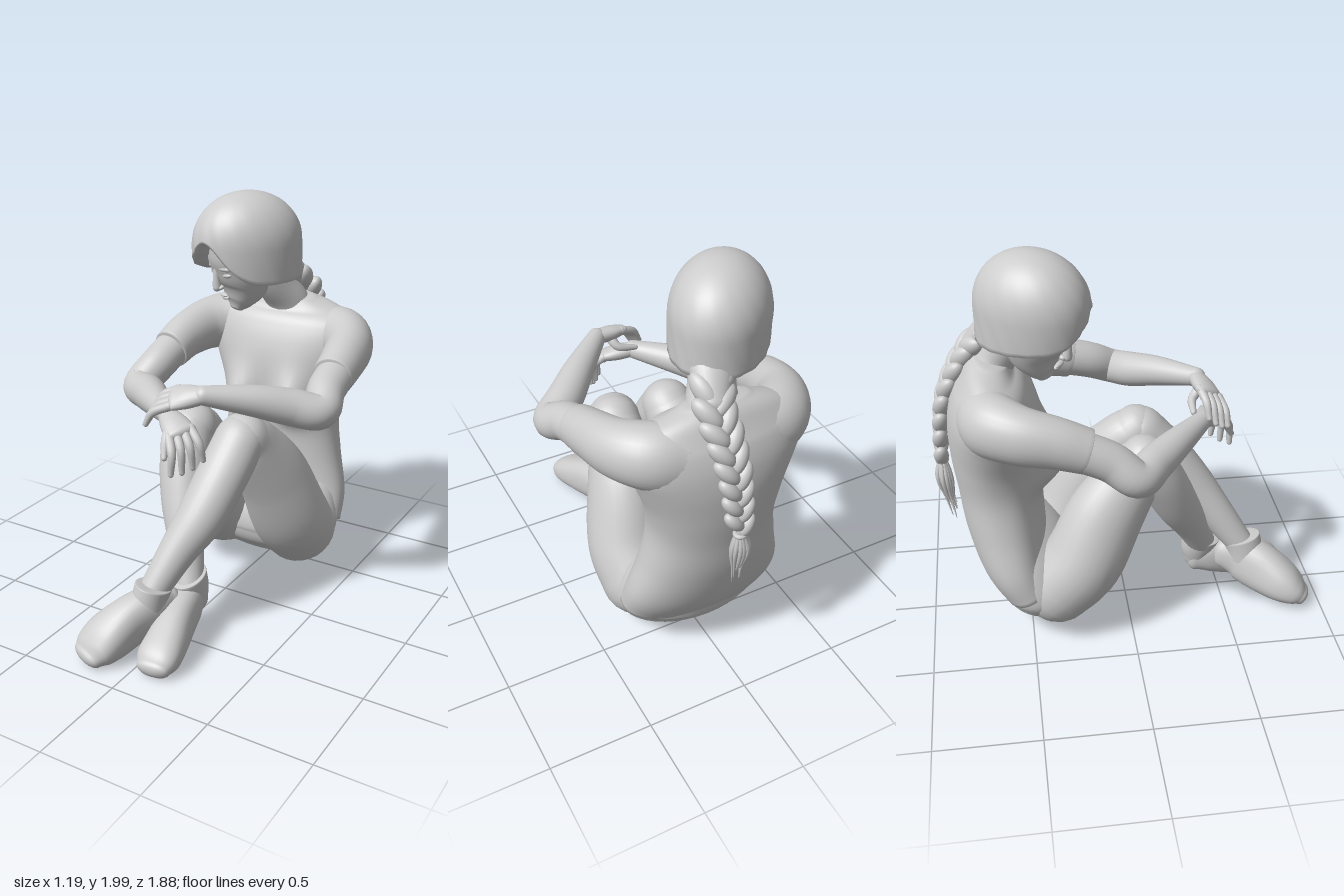
import * as THREE from 'three';

const mat = new THREE.MeshStandardMaterial({ color: 0xcccccc });
const thin = new THREE.MeshStandardMaterial({ color: 0xcccccc, side: THREE.DoubleSide });
const V = (x, y, z) => new THREE.Vector3(x, y, z);

function add(parent, name, geometry, material = mat) {
  const mesh = new THREE.Mesh(geometry, material);
  mesh.name = name;
  parent.add(mesh);
  return mesh;
}

// Closed surface from a grid of rings: point(i, j) gives ring i, corner j
function gridGeometry(rows, cols, point) {
  const pos = [], idx = [];
  for (let i = 0; i < rows; i++)
    for (let j = 0; j < cols; j++) {
      pos.push(...point(i, j).toArray());
      if (i === rows - 1) continue;
      const a = i * cols + j, b = i * cols + (j + 1) % cols;
      idx.push(a, b, a + cols, b, b + cols, a + cols);
    }
  const g = new THREE.BufferGeometry();
  g.setAttribute('position', new THREE.Float32BufferAttribute(pos, 3));
  g.setIndex(idx);
  g.computeVertexNormals();
  return g;
}

// Smooth limb through sections [x, y, z, radiusAlongSide, radiusAcross], with domed ends
function loft(sections, { side = V(1, 0, 0), caps = [1, 1], sides = 28, steps = 7, power = 1 } = {}) {
  const path = new THREE.CatmullRomCurve3(sections.map(s => V(s[0], s[1], s[2])), false, 'catmullrom');
  const radii = new THREE.CatmullRomCurve3(sections.map(s => V(s[3], s[4] ?? s[3], 0)), false, 'catmullrom');
  const rings = [], n = (sections.length - 1) * steps, capRings = 6;
  const ring = (t, angle, dir, cap) => {
    const c = path.getPoint(t), r = radii.getPoint(t), tan = path.getTangent(t);
    const s = side.clone().addScaledVector(tan, -side.dot(tan)).normalize();
    const b = new THREE.Vector3().crossVectors(tan, s);
    c.addScaledVector(tan, dir * cap * Math.min(r.x, r.y) * Math.sin(angle));
    rings.push({ c, s, b, rx: r.x * Math.cos(angle), ry: r.y * Math.cos(angle) });
  };
  for (let k = capRings; k > 0; k--) ring(0, k / capRings * Math.PI / 2, -1, caps[0]);
  for (let i = 0; i <= n; i++) ring(i / n, 0, 0, 0);
  for (let k = 1; k <= capRings; k++) ring(1, k / capRings * Math.PI / 2, 1, caps[1]);
  const soft = v => Math.sign(v) * Math.abs(v) ** power;
  return gridGeometry(rings.length, sides, (i, j) => {
    const a = j / sides * Math.PI * 2, { c, s, b, rx, ry } = rings[i];
    return c.clone().addScaledVector(s, soft(Math.cos(a)) * rx).addScaledVector(b, soft(Math.sin(a)) * ry);
  });
}

function ball(parent, name, x, y, z, rx, ry, rz) {
  const m = add(parent, name, new THREE.SphereGeometry(1, 24, 16));
  m.position.set(x, y, z);
  m.scale.set(rx, ry, rz);
  return m;
}

// Palm, four bent fingers and a thumb; fan widens the gaps toward the tips
function hand(parent, name, wrist, knuckle, bend, tip, spread, fan, thumb) {
  const g = new THREE.Group();
  g.name = name;
  parent.add(g);
  const sec = (p, a, b) => [p.x, p.y, p.z, a, b];
  const mid = wrist.clone().lerp(knuckle, 0.55);
  add(g, 'palm', loft([sec(wrist, 0.045, 0.037), sec(mid, 0.066, 0.04), sec(knuckle, 0.074, 0.031)],
    { side: spread, caps: [1, 0.9], sides: 20 }));
  for (let k = 0; k < 4; k++) {
    const off = (k - 1.5) * 0.036, reach = [0.88, 1, 0.97, 0.8][k];
    const at = (p, f) => p.clone().addScaledVector(spread, off * f);
    const end = bend.clone().lerp(tip, reach);
    add(g, 'finger', loft([sec(at(knuckle, 1), 0.022), sec(at(bend, (1 + fan) / 2), 0.02), sec(at(end, fan), 0.014)],
      { side: spread, sides: 12, steps: 5 }));
  }
  add(g, 'thumb', loft([sec(mid, 0.028), sec(thumb[0], 0.022), sec(thumb[1], 0.014)],
    { side: V(0.2, 0.9, 0.3), sides: 12, steps: 5 }));
}

function buildHead(root) {
  // Face, tilted down and turned to the right
  const face = new THREE.Group();
  face.name = 'face';
  face.position.set(-0.135, 1.72, -0.42);
  face.rotation.set(0.3, -0.54, 0, 'YXZ');
  root.add(face);
  add(face, 'skull', loft([
    [0, -0.28, 0.135, 0.042, 0.035], [0, -0.25, 0.108, 0.078, 0.075], [0, -0.19, 0.065, 0.122, 0.13],
    [0, -0.11, 0.035, 0.153, 0.165], [0, -0.02, 0.015, 0.165, 0.185], [0, 0.1, 0, 0.15, 0.175]],
    { caps: [0.4, 0.7], sides: 36 }));
  add(face, 'nose', loft([[0, -0.04, 0.186, 0.014, 0.012], [0, -0.095, 0.199, 0.018, 0.019],
    [0, -0.135, 0.208, 0.022, 0.022]], { sides: 16 }));
  ball(face, 'upperLip', 0, -0.187, 0.183, 0.036, 0.009, 0.014);
  ball(face, 'lowerLip', 0, -0.204, 0.178, 0.03, 0.011, 0.014);
  for (const s of [-1, 1]) {
    ball(face, 'nostril', s * 0.017, -0.139, 0.194, 0.014, 0.011, 0.016);
    ball(face, 'eye', s * 0.068, -0.072, 0.167, 0.03, 0.013, 0.016).rotation.y = s * 0.35;
    ball(face, 'brow', s * 0.07, -0.036, 0.168, 0.046, 0.014, 0.017).rotation.set(0, s * 0.4, -s * 0.1);
  }

  // Cap of hair, longer than wide, with a swept fringe; the rim curls inward
  const cols = 72, rows = 34, rim = 5;
  const hair = add(root, 'hair', gridGeometry(rows + rim, cols, (i, j) => {
    const a = j / cols * Math.PI * 2, phi = Math.atan2(Math.sin(a), Math.cos(a));
    const back = (1 - Math.cos(phi)) / 2;
    const base = phi < 0 ? -0.13 - 0.04 * back : -0.17;
    const edge = base + (0.03 - base) * Math.exp(-(((phi - 0.38) / 0.6) ** 2));
    const u = Math.min(i / (rows - 1), 1);
    const y = 0.26 - (0.26 - edge) * (1 - Math.cos(u * Math.PI / 2));
    let r = y > 0 ? Math.max(0, 1 - (y / 0.26) ** 2.1) ** 0.49 : 1 - 2 * y * y * (1 - back);
    r += 0.01 * Math.sin(phi * 17 + y * 30) * u * u;
    const curl = Math.max(0, i - rows + 1) / rim;
    r *= 1 - 0.38 * curl;
    return V(Math.sin(a) * r * 0.223, y - 0.012 * Math.sin(curl * Math.PI), Math.cos(a) * r * 0.283);
  }), thin);
  // Rings run from the crown down, so reverse the winding
  hair.geometry.setIndex([...hair.geometry.index.array].reverse());
  hair.geometry.computeVertexNormals();
  hair.position.set(-0.123, 1.74, -0.425);
  hair.rotation.y = -0.7;

  add(root, 'neck', loft([[0, 1.35, -0.64, 0.18, 0.1], [0.005, 1.44, -0.6, 0.12, 0.095],
    [-0.03, 1.55, -0.53, 0.1, 0.1], [-0.06, 1.68, -0.47, 0.1, 0.1]]));
}

function buildBraid(root) {
  const braid = new THREE.Group();
  braid.name = 'braid';
  root.add(braid);
  add(braid, 'gatheredHair', loft([[-0.02, 1.63, -0.54, 0.12, 0.1], [0.02, 1.57, -0.62, 0.095, 0.075],
    [0.055, 1.5, -0.7, 0.065, 0.05]]));
  const path = new THREE.CatmullRomCurve3([V(0.03, 1.56, -0.64), V(0.06, 1.48, -0.72), V(0.05, 1.36, -0.8),
    V(0.035, 1.22, -0.86), V(0.02, 1.05, -0.885), V(0.01, 0.94, -0.89)]);
  // Alternating plump lobes lean outward at the top
  const count = 17;
  for (let i = 0; i < count; i++) {
    const t = i / (count - 1), s = i % 2 ? 1 : -1, size = 1 - 0.33 * t;
    const p = path.getPointAt(t), up = path.getTangentAt(t).negate();
    const x = V(1, 0, 0).addScaledVector(up, -up.x).normalize();
    p.addScaledVector(x, s * 0.042 * size);
    const lobe = ball(braid, 'braidLobe', p.x, p.y, p.z, 0.047 * size, 0.092 * size, 0.054 * size);
    lobe.quaternion.setFromRotationMatrix(new THREE.Matrix4().makeBasis(x, up, x.clone().cross(up)));
    lobe.rotateZ(-s * 0.6);
  }
  const tie = add(braid, 'braidTie', new THREE.TorusGeometry(0.022, 0.011, 10, 24));
  tie.position.set(0.01, 0.9, -0.89);
  tie.rotation.x = Math.PI / 2;
  // Loose tuft under the tie
  add(braid, 'tuftCore', loft([[0.01, 0.92, -0.89, 0.02], [0, 0.81, -0.888, 0.038, 0.032],
    [-0.005, 0.7, -0.868, 0.012]], { sides: 12 }));
  for (let k = 0; k < 11; k++) {
    const a = k * 2.4, c = Math.cos(a), s = Math.sin(a), end = 0.57 + 0.012 * ((k * 5) % 11);
    add(braid, 'tuftStrand', loft([[0.01 + c * 0.012, 0.91, -0.89 + s * 0.012, 0.009],
      [c * 0.042, 0.81, -0.886 + s * 0.034, 0.011], [c * 0.026, 0.7, -0.87 + s * 0.02, 0.007],
      [-0.01 + c * 0.02, end, -0.85 + s * 0.014, 0.002]], { sides: 8, steps: 4 }));
  }
}

// Shirt body, its front pushed out softly at the bust
function shirtGeometry() {
  const g = loft([
    [0, 0.29, -0.508, 0.402, 0.166], [0, 0.43, -0.572, 0.39, 0.181], [0, 0.62, -0.605, 0.34, 0.198],
    [0, 0.8, -0.618, 0.312, 0.206], [0, 0.95, -0.626, 0.33, 0.217], [0, 1.1, -0.626, 0.38, 0.224],
    [0, 1.22, -0.63, 0.42, 0.208], [0, 1.32, -0.632, 0.415, 0.172], [0, 1.39, -0.632, 0.33, 0.125],
    [0, 1.445, -0.622, 0.17, 0.085]], { caps: [0.06, 0.2], sides: 64, power: 0.92 });
  const p = g.attributes.position;
  for (let i = 0; i < p.count; i++) {
    if (p.getZ(i) < -0.6) continue;
    const dx = (Math.abs(p.getX(i)) - 0.155) / 0.1, dy = p.getY(i) - 0.915;
    const bump = Math.exp(-dx * dx - (dy / (dy > 0 ? 0.15 : 0.085)) ** 2);
    p.setZ(i, p.getZ(i) + 0.105 * bump * Math.min(1, (p.getZ(i) + 0.6) / 0.1));
  }
  g.computeVertexNormals();
  return g;
}

export function createModel() {
  const root = new THREE.Group();
  root.name = 'seatedFigure';

  // Hips and shirt
  add(root, 'hips', loft([[0, 0.1, -0.425, 0.22, 0.11], [0, 0.135, -0.43, 0.3, 0.165], [0, 0.2, -0.44, 0.37, 0.208],
    [0, 0.28, -0.457, 0.4, 0.224], [0, 0.4, -0.51, 0.375, 0.2], [0, 0.52, -0.57, 0.32, 0.14]],
    { caps: [0.25, 0.3], sides: 40 }));
  add(root, 'shirt', shirtGeometry());

  for (const s of [-1, 1]) {
    const side = s > 0 ? 'left' : 'right', up = V(0, 1, 0);

    // Arms: the right forearm rests lower than the left
    const d = s > 0 ? 0 : -0.02;
    add(root, side + 'Sleeve', loft([[s * 0.19, 1.23, -0.665, 0.175, 0.14], [s * 0.32, 1.26, -0.625, 0.155, 0.142],
      [s * 0.41, 1.252, -0.515, 0.138, 0.122], [s * 0.447, 1.225, -0.36, 0.12, 0.108],
      [s * 0.46, 1.19 + d / 2, -0.225, 0.105, 0.1]], { side: up, caps: [1, 0.08] }));
    const elbow = s > 0 ? [1.16, 1.1, 1.13, 1.175, 1.22] : [1.13, 1.045, 1.05, 1.07, 1.09];
    const arm = [[0.475, -0.13, 0.092], [0.505, -0.005, 0.087], [0.395, 0.085, 0.088], [0.27, 0.205, 0.074], [0.1, 0.365, 0.046]];
    add(root, side + 'Arm', loft([[s * 0.457, 1.21, -0.32, 0.095],
      ...arm.map(([x, z, r], i) => [s * x, elbow[i], z, r])], { side: up }));

    // Thighs
    add(root, side + 'Thigh', loft([[s * 0.225, 0.275, -0.37, 0.2, 0.195], [s * 0.235, 0.42, -0.24, 0.2, 0.2],
      [s * 0.205, 0.66, -0.12, 0.168, 0.19], [s * 0.16, 0.85, 0.015, 0.138, 0.152],
      [s * 0.145, 0.925, 0.08, 0.125, 0.122]], { caps: [0.95, 0.95] }));
  }

  // Crossed shins, the left in front
  add(root, 'leftShin', loft([[0.14, 0.915, 0.105, 0.125, 0.12], [0.12, 0.78, 0.23, 0.125, 0.117],
    [0.08, 0.61, 0.36, 0.117, 0.112], [0.02, 0.46, 0.48, 0.09, 0.09], [-0.035, 0.3, 0.6, 0.07, 0.07]]));
  add(root, 'rightShin', loft([[-0.15, 0.915, 0.09, 0.125, 0.12], [-0.13, 0.78, 0.17, 0.125, 0.117],
    [-0.085, 0.61, 0.25, 0.115, 0.11], [-0.02, 0.43, 0.34, 0.088, 0.088], [0.045, 0.25, 0.42, 0.07, 0.07]]));

  // Ankle-high shoes with slanted openings
  add(root, 'leftShoe', loft([[0.005, 0.205, 0.53, 0.065, 0.085], [-0.035, 0.2, 0.61, 0.085, 0.125],
    [-0.095, 0.17, 0.7, 0.098, 0.128], [-0.155, 0.118, 0.8, 0.115, 0.108], [-0.188, 0.08, 0.865, 0.11, 0.078],
    [-0.205, 0.055, 0.905, 0.085, 0.048]], { caps: [0.8, 0.75], power: 0.85 }));
  add(root, 'leftShoeCollar', loft([[-0.05, 0.2, 0.635, 0.085, 0.09], [-0.04, 0.27, 0.626, 0.084, 0.095],
    [-0.03, 0.325, 0.612, 0.085, 0.098]], { caps: [1, 0.05] }));
  add(root, 'rightShoe', loft([[0.045, 0.17, 0.38, 0.06, 0.08], [0.055, 0.17, 0.46, 0.077, 0.102],
    [0.075, 0.14, 0.58, 0.086, 0.108], [0.095, 0.103, 0.7, 0.099, 0.093], [0.108, 0.075, 0.79, 0.103, 0.073],
    [0.112, 0.052, 0.84, 0.082, 0.046]], { caps: [0.8, 0.7], power: 0.85 }));
  add(root, 'rightShoeCollar', loft([[0.055, 0.17, 0.39, 0.065, 0.07], [0.048, 0.235, 0.395, 0.075, 0.088],
    [0.04, 0.3, 0.412, 0.08, 0.1]], { caps: [1, 0.05] }));

  // Left hand holds the right wrist, right hand hangs
  hand(root, 'leftHand', V(0.1, 1.22, 0.365), V(-0.03, 1.198, 0.405), V(-0.105, 1.162, 0.425), V(-0.15, 1.085, 0.435),
    V(0, -0.5, 0.85).normalize(), 1, [V(0, 1.155, 0.33), V(-0.09, 1.13, 0.32)]);
  hand(root, 'rightHand', V(-0.1, 1.09, 0.365), V(0.02, 1.05, 0.44), V(0.07, 0.99, 0.475), V(0.075, 0.885, 0.47),
    V(0.6, 0.25, -0.75).normalize(), 1.5, [V(-0.03, 1.03, 0.48), V(-0.01, 0.95, 0.53)]);

  buildHead(root);
  buildBraid(root);
  return root;
}
